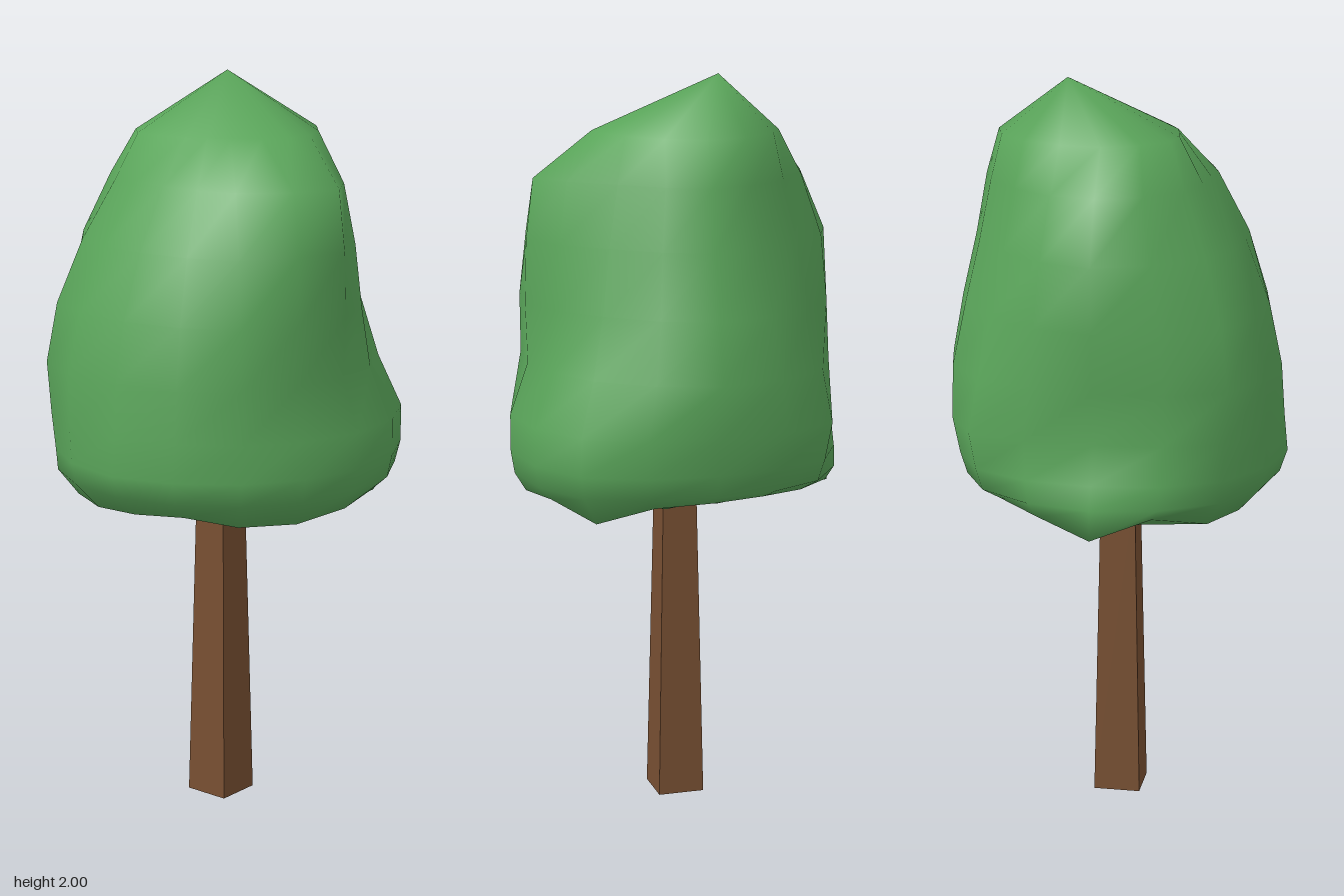
import * as THREE from 'three';

const SEGMENTS = 16;

// Each ring: height, then radii in eight directions, turning from +x towards +z
const RINGS = [
  [0.84, 0.13, 0.13, 0.12, 0.12, 0.12, 0.13, 0.15, 0.14],
  [0.86, 0.28, 0.28, 0.27, 0.27, 0.26, 0.27, 0.29, 0.29],
  [0.87, 0.39, 0.41, 0.41, 0.38, 0.37, 0.40, 0.45, 0.39],
  [0.94, 0.415, 0.47, 0.44, 0.44, 0.44, 0.455, 0.45, 0.44],
  [1.00, 0.43, 0.485, 0.45, 0.44, 0.46, 0.46, 0.43, 0.46],
  [1.10, 0.445, 0.485, 0.45, 0.44, 0.45, 0.47, 0.39, 0.48],
  [1.24, 0.46, 0.42, 0.40, 0.44, 0.44, 0.48, 0.41, 0.45],
  [1.40, 0.43, 0.37, 0.405, 0.43, 0.405, 0.45, 0.43, 0.41],
  [1.57, 0.39, 0.335, 0.40, 0.39, 0.34, 0.38, 0.43, 0.37],
  [1.73, 0.36, 0.29, 0.38, 0.31, 0.25, 0.29, 0.36, 0.33],
  [1.85, 0.325, 0.25, 0.22, 0.17, 0.16, 0.23, 0.27, 0.30],
];
// Lumps and hollows of the underside and the lower rim, one lift per segment
const LIFTS = [
  [0.01, 0, 0, -0.01, -0.02, -0.01, 0, 0, 0, 0, 0, -0.01, -0.02, -0.01, 0, 0.01],
  [0.05, 0.03, 0, 0, 0, -0.01, -0.01, 0, 0, 0, -0.01, -0.01, -0.02, 0.02, 0.04, 0.05],
  [0.05, 0.04, -0.01, 0.03, 0.02, 0, 0, 0.02, 0.01, 0, 0, 0.04, -0.01, 0.03, 0.04, 0.05],
];

// Smooth closed outline through the eight points of a ring
function ringPoints([y, ...radii], lifts) {
  const corners = radii.map((r, i) => {
    const a = (i / radii.length) * Math.PI * 2;
    return new THREE.Vector3(r * Math.cos(a), y, r * Math.sin(a));
  });
  const curve = new THREE.CatmullRomCurve3(corners, true);
  return Array.from({ length: SEGMENTS }, (_, i) => {
    const point = curve.getPoint(i / SEGMENTS);
    if (lifts) point.y += lifts[i];
    return point;
  });
}

function crownGeometry() {
  const points = RINGS.flatMap((ring, k) => ringPoints(ring, LIFTS[k]));
  const bottom = points.push(new THREE.Vector3(0, 0.84, 0)) - 1;
  const top = points.push(new THREE.Vector3(0.12, 2, -0.09)) - 1;
  const last = (RINGS.length - 1) * SEGMENTS;
  const index = [];
  for (let i = 0; i < SEGMENTS; i++) {
    const j = (i + 1) % SEGMENTS;
    index.push(bottom, i, j, top, last + j, last + i);
    for (let k = 0; k < last; k += SEGMENTS) {
      const a = k + i, b = k + j, c = a + SEGMENTS, d = b + SEGMENTS;
      index.push(a, c, b, b, c, d);
    }
  }
  const geometry = new THREE.BufferGeometry().setFromPoints(points);
  geometry.setIndex(index);
  geometry.computeVertexNormals();
  return geometry;
}

export function createModel() {
  const tree = new THREE.Group();
  tree.name = 'tree';

  // Square tapered trunk, reaching a little into the crown
  const trunkGeometry = new THREE.CylinderGeometry(0.047 * Math.SQRT2, 0.064 * Math.SQRT2, 0.87, 4);
  trunkGeometry.rotateY(Math.PI / 4);
  const trunk = new THREE.Mesh(
    trunkGeometry,
    new THREE.MeshStandardMaterial({ color: 0x774f32, flatShading: true })
  );
  trunk.name = 'trunk';
  trunk.position.set(-0.005, 0.435, -0.01);

  // Lumpy, smooth-shaded crown
  const crown = new THREE.Mesh(crownGeometry(), new THREE.MeshStandardMaterial({ color: 0x5aa55a }));
  crown.name = 'crown';

  tree.add(trunk, crown);
  return tree;
}
